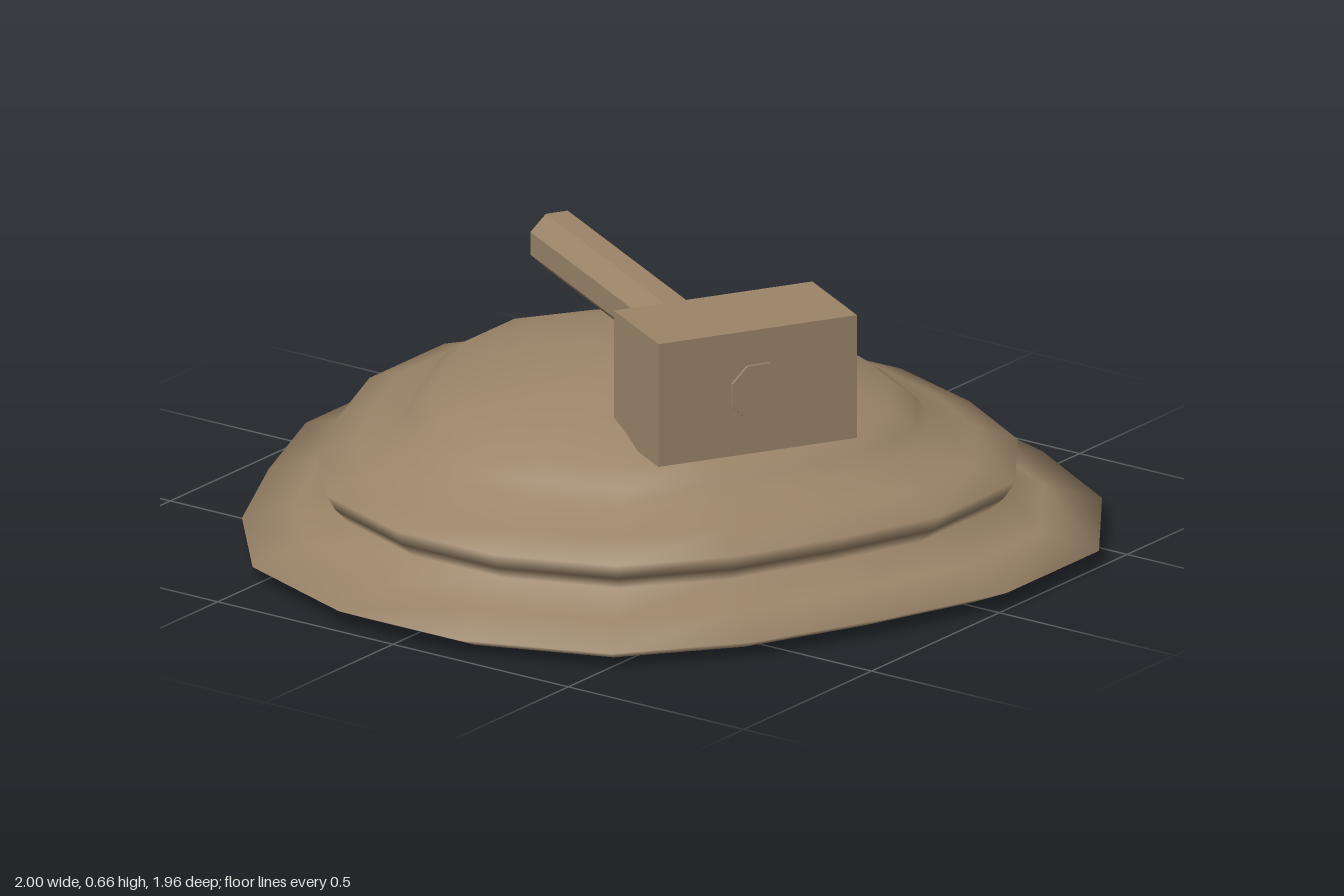
import * as THREE from 'three';

// Rounded stone mound: one plan outline scaled through a list of levels
function moundGeometry() {
  const half = [[0.17, -0.98], [0.49, -0.87], [0.79, -0.69], [1, -0.39], [1, -0.03],
    [0.88, 0.28], [0.73, 0.59], [0.51, 0.85], [0.17, 0.98]];
  const outline = [...half, ...half.map(([x, z]) => [-x, z]).reverse()];
  // [height, scale]
  const levels = [[0, 0.91], [0.04, 1], [0.075, 0.87], [0.115, 0.755], [0.15, 0.79], [0.19, 0.814],
    [0.225, 0.72], [0.265, 0.62], [0.3, 0.59], [0.34, 0.535], [0.385, 0.41], [0.42, 0.27], [0.44, 0.12]];
  const n = outline.length;
  const positions = [];
  const index = [];
  for (const [y, s] of levels) for (const [x, z] of outline) positions.push(x * s, y, z * s);
  const bottom = levels.length * n;
  const top = bottom + 1;
  const last = (levels.length - 1) * n;
  positions.push(0, 0, 0, 0, 0.448, 0);
  for (let i = 0; i < n; i++) {
    const k = (i + 1) % n;
    for (let j = 0; j < levels.length - 1; j++) {
      const a = j * n + i, b = j * n + k;
      index.push(a, a + n, b, b, a + n, b + n);
    }
    index.push(bottom, i, k, top, last + k, last + i);
  }
  const geometry = new THREE.BufferGeometry();
  geometry.setAttribute('position', new THREE.Float32BufferAttribute(positions, 3));
  geometry.setIndex(index);
  geometry.computeVertexNormals();
  return geometry;
}

export function createModel() {
  const group = new THREE.Group();
  const brown = new THREE.MeshStandardMaterial({ color: 0x9b8569 });
  brown.name = 'warm brown';
  const flatBrown = brown.clone();
  flatBrown.flatShading = true;
  flatBrown.name = 'warm brown faceted';

  const mound = new THREE.Mesh(moundGeometry(), brown);
  mound.name = 'base';
  group.add(mound);

  // Hammer lying across the mound; its local x runs along the handle
  const hammer = new THREE.Group();
  hammer.name = 'hammer';
  hammer.position.set(0.38, 0.506, 0.182);
  hammer.rotation.y = -Math.atan2(0.51, 0.88);

  const head = new THREE.Mesh(new THREE.BoxGeometry(0.255, 0.3, 0.5), flatBrown);
  head.name = 'hammerHead';
  hammer.add(head);

  // Eight-sided handle, its end showing just beyond the head
  const length = 1.155;
  const handleGeometry = new THREE.CylinderGeometry(0.072, 0.072, length, 8);
  handleGeometry.rotateY(Math.PI / 8);
  handleGeometry.rotateZ(Math.PI / 2);
  const handle = new THREE.Mesh(handleGeometry, flatBrown);
  handle.name = 'hammerHandle';
  handle.position.x = 0.135 - length / 2;
  hammer.add(handle);

  group.add(hammer);
  return group;
}
